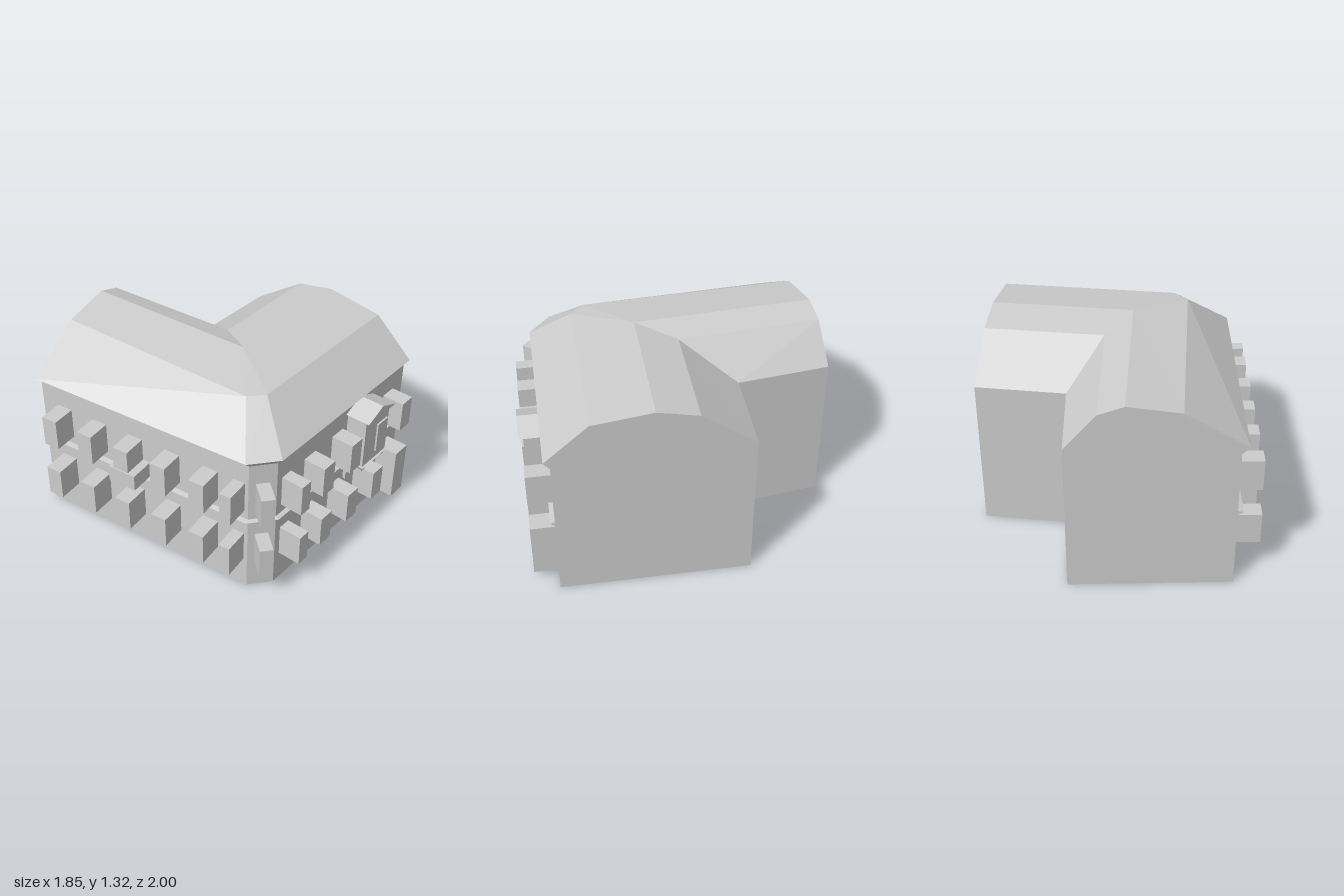
import * as THREE from 'three';

const stone = new THREE.MeshStandardMaterial({ color: 0xcccccc });
stone.name = 'paleStone';

// Closed loft through equal-length cross-sections; quads left flat, ends capped by a fan
function loft(sections) {
  const out = [];
  const tri = (a, b, c) => {
    const [A, B, C] = [a, b, c].map((p) => new THREE.Vector3(...p));
    if (B.clone().sub(A).cross(C.clone().sub(A)).length() > 1e-7) out.push(...a, ...b, ...c);
  };
  const n = sections[0].length;
  for (let i = 0; i + 1 < sections.length; i++) {
    const s = sections[i], t = sections[i + 1];
    for (let k = 0; k < n; k++) {
      const m = (k + 1) % n;
      tri(s[k], t[k], t[m]);
      tri(s[k], t[m], s[m]);
    }
  }
  const first = sections[0], last = sections[sections.length - 1];
  for (let k = 0; k < n - 2; k++) {
    tri(first[n - 1], first[k], first[k + 1]);
    tri(last[n - 1], last[k + 1], last[k]);
  }
  const g = new THREE.BufferGeometry();
  g.setAttribute('position', new THREE.Float32BufferAttribute(out, 3));
  g.computeVertexNormals();
  return g;
}

// Plan points [x, z] at the four stations: wing end, corner left, corner right, main end
const STATIONS = [
  { wall: [-0.77, -0.847], eave: [-0.82, -0.84], kerb: [-0.43, -0.898], ridge: [-0.1, -0.947], rear: [0.06, -0.97], back: [0.26, -1] },
  { wall: [-0.565, 0.72], eave: [-0.61, 0.73], kerb: [-0.345, 0.51], ridge: [-0.01, 0.215], rear: [0.145, -0.045], back: [0.34, -0.395] },
  { wall: [-0.43, 0.83], eave: [-0.44, 0.87], kerb: [-0.25, 0.595], ridge: [-0.01, 0.215], rear: [0.145, -0.045], back: [0.34, -0.395] },
  { wall: [0.925, 0.83], eave: [0.925, 0.87], kerb: [0.925, 0.595], ridge: [0.925, 0.215], rear: [0.925, -0.045], back: [0.925, -0.39] },
];
const at = ([x, z], y) => [x, y, z];

export function createModel() {
  const model = new THREE.Group();
  model.name = 'cornerHouse';
  const add = (name, geometry, parent = model) => {
    const mesh = new THREE.Mesh(geometry, stone);
    mesh.name = name;
    parent.add(mesh);
    return mesh;
  };
  const box = (name, x0, x1, y0, y1, z0, z1, parent) => {
    const m = add(name, new THREE.BoxGeometry(x1 - x0, y1 - y0, z1 - z0), parent);
    m.position.set((x0 + x1) / 2, (y0 + y1) / 2, (z0 + z1) / 2);
    return m;
  };

  // Walls, flared eave and broken-pitch roof of both wings
  add('wallsAndRoof', loft(STATIONS.map((s) => [
    at(s.wall, 0), at(s.wall, 0.985), at(s.eave, 1.03), at(s.kerb, 1.27),
    at(s.ridge, 1.32), at(s.rear, 1.265), at(s.back, 1.03), at(s.back, 0),
  ])));

  // String course between the storeys
  add('stringCourse', loft(STATIONS.map((s) => {
    const lip = s.wall.map((v, i) => v + (s.eave[i] - v) * 0.7);
    return [at(s.wall, 0.535), at(lip, 0.557), at(s.wall, 0.565)];
  })));

  // Block projecting from a wall at plan point (x, z), facing along the normal (nx, nz)
  const block = (name, x, z, nx, nz, width, y0, y1, depth) => {
    const inset = 0.02;
    const g = new THREE.BoxGeometry(width, y1 - y0, depth + inset);
    g.translate(0, (y0 + y1) / 2, (depth - inset) / 2);
    const m = add(name, g);
    m.position.set(x, 0, z);
    m.rotation.y = Math.atan2(nx, nz);
  };
  const ROWS = [['lowerWindow', 0.22, 0.437, 0.01], ['upperWindow', 0.627, 0.843, 0]];

  for (const [row, y0, y1, extra] of ROWS) {
    // Front wall
    for (const [x, w] of [[-0.34, 0.085], [-0.105, 0.11], [0.185, 0.11], [0.475, 0.11], [0.76, 0.11]]) {
      if (row === 'lowerWindow' && x > 0.7) continue;
      block(row, x, 0.83, 0, 1, w, y0, y1, 0.152 + extra / 2);
    }
    // Canted corner
    block(row, -0.5, 0.777, -0.632, 0.775, 0.085, y0, y1, 0.155);
    // Side wall
    for (const [z, w] of [[-0.67, 0.11], [-0.39, 0.11], [-0.11, 0.11], [0.17, 0.11], [0.45, 0.11], [0.655, 0.08]]) {
      block(row, -0.565 - 0.131 * (0.72 - z), z, -0.9915, 0.13, w, y0, y1, 0.16 + extra);
    }
  }
  block('frontDoor', 0.76, 0.83, 0, 1, 0.13, 0.06, 0.432, 0.155);
  block('sideBalcony', -0.672, -0.1, -0.9915, 0.13, 0.2, 0.575, 0.685, 0.17);

  // Oriel bay with flared base, gabled cap and a pair of curved brackets
  const oriel = new THREE.Group();
  oriel.name = 'oriel';
  model.add(oriel);
  box('orielBody', 0.29, 0.55, 0.565, 0.93, 0.81, 0.97, oriel);
  const ring = (x, y, zFront) => [[-x + 0.42, y, 0.82], [-x + 0.42, y, zFront], [x + 0.42, y, zFront], [x + 0.42, y, 0.82]];
  add('orielBase', loft([ring(0.145, 0.572, 0.985), ring(0.13, 0.545, 0.968)].reverse().map((r) => r.reverse())), oriel);
  add('orielCornice', loft([ring(0.13, 0.922, 0.97), ring(0.15, 0.937, 1)].map((r) => r.reverse())), oriel);

  const gable = new THREE.Shape();
  gable.moveTo(0.27, 0.937);
  gable.lineTo(0.57, 0.937);
  gable.lineTo(0.42, 1.002);
  gable.closePath();
  const cap = new THREE.ExtrudeGeometry(gable, { depth: 0.18, bevelEnabled: false });
  cap.translate(0, 0, 0.82);
  add('orielGable', cap, oriel);

  const side = new THREE.Shape();
  side.moveTo(0.82, 0.55);
  side.lineTo(0.82, 0.405);
  side.lineTo(0.85, 0.405);
  side.lineTo(0.85, 0.44);
  side.quadraticCurveTo(0.865, 0.525, 0.965, 0.53);
  side.lineTo(0.965, 0.55);
  side.closePath();
  for (const x of [0.33, 0.55]) {
    const g = new THREE.ExtrudeGeometry(side, { depth: 0.04, bevelEnabled: false, curveSegments: 6 });
    g.rotateY(-Math.PI / 2);
    g.translate(x, 0, 0);
    add('orielBracket', g, oriel);
  }
  return model;
}
